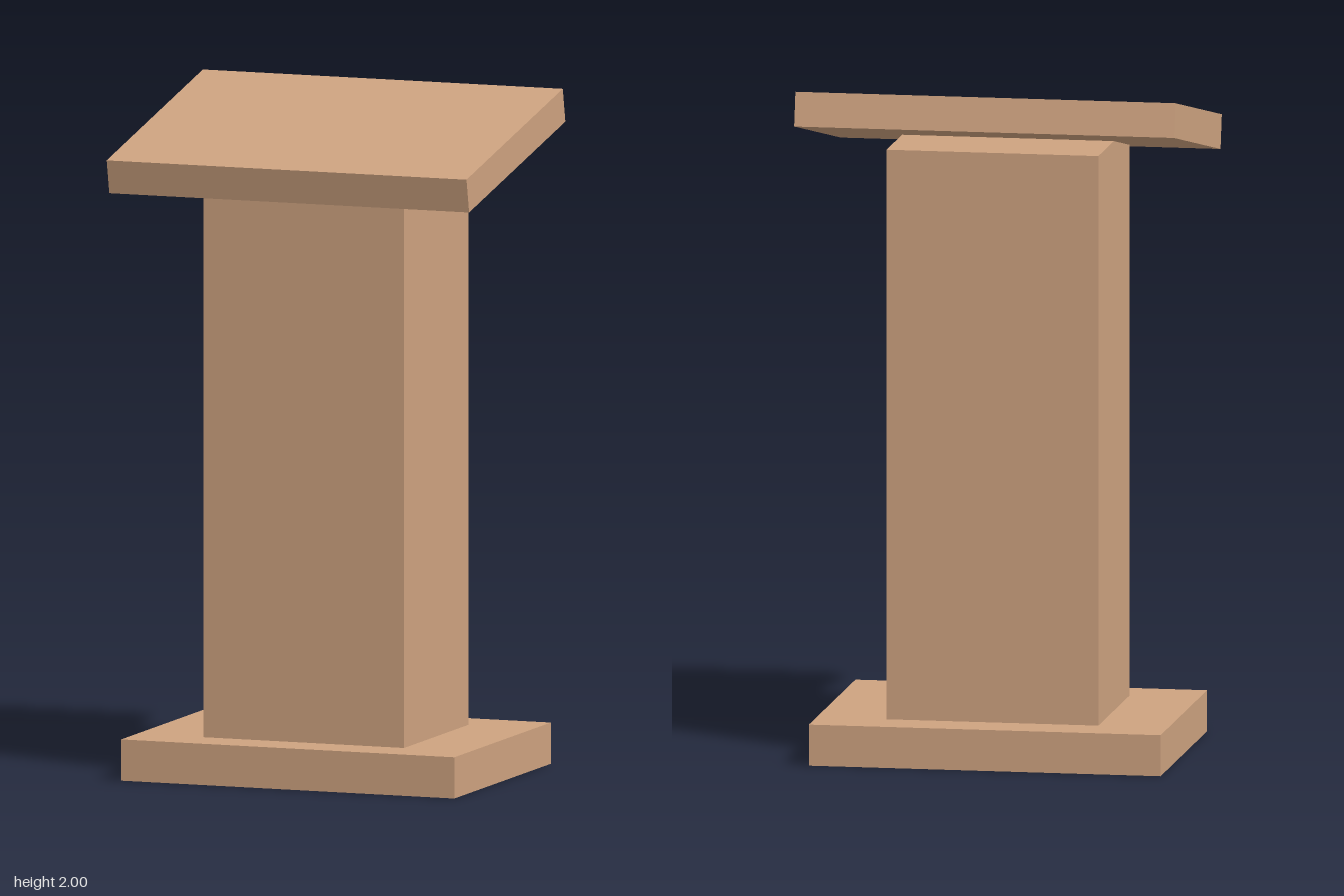
import * as THREE from 'three';

export function createModel() {
  const group = new THREE.Group();
  group.name = 'lectern';

  const wood = new THREE.MeshStandardMaterial({ color: 0xcda27f });
  wood.name = 'light wood';

  // Adds a box centred on x and z, with its centre at height y
  const addBox = (name, width, height, depth, y) => {
    const mesh = new THREE.Mesh(new THREE.BoxGeometry(width, height, depth), wood);
    mesh.name = name;
    mesh.position.y = y;
    group.add(mesh);
    return mesh;
  };

  // Base slab and upright post
  addBox('base', 1.046, 0.122, 0.784, 0.061);
  addBox('post', 0.63, 1.693, 0.524, 0.9685);

  // Reading board, tilted down towards the front
  const board = addBox('readingBoard', 1.13, 0.102, 0.8, 1.867);
  board.rotation.x = THREE.MathUtils.degToRad(12);

  return group;
}
